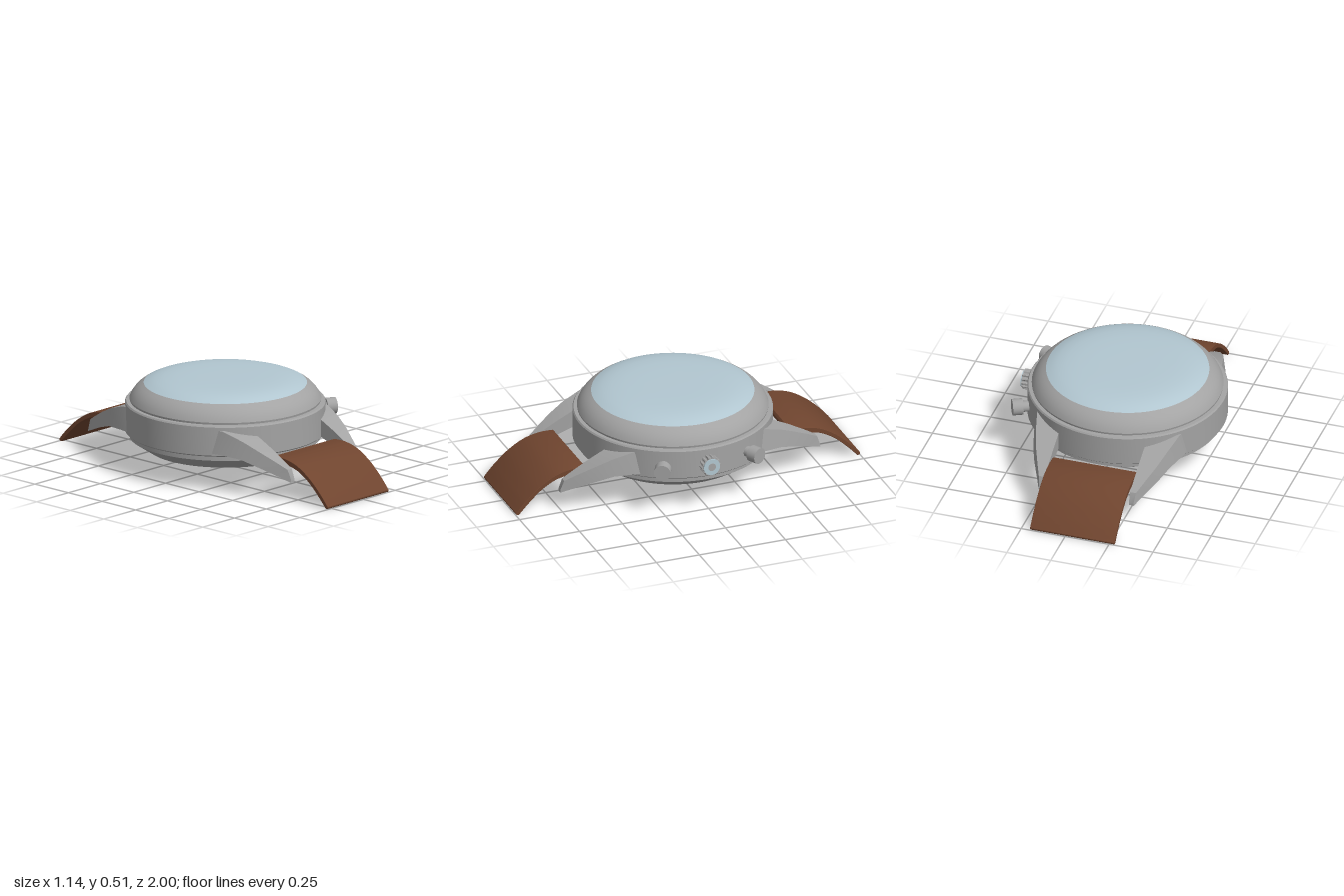
import * as THREE from 'three';
import { toCreasedNormals } from 'three/addons/utils/BufferGeometryUtils.js';

const material = (name, color, side = THREE.FrontSide) => {
  const m = new THREE.MeshStandardMaterial({ color, side });
  m.name = name;
  return m;
};

export function createModel() {
  const steel = material('steel', 0xa3a3a3);
  const glass = material('glass', 0xb2c7d1);
  const leather = material('leather', 0x70452f);

  const watch = new THREE.Group();
  watch.name = 'wristwatch';

  const add = (parent, name, geometry, mat) => {
    const mesh = new THREE.Mesh(geometry, mat);
    mesh.name = name;
    parent.add(mesh);
    return mesh;
  };
  const lathe = (points) => toCreasedNormals(
    new THREE.LatheGeometry(points.map(([r, y]) => new THREE.Vector2(r, y)), 96), 0.5);

  // Round body, centred slightly left of the crown
  const body = new THREE.Group();
  body.name = 'body';
  body.position.x = -0.029;
  watch.add(body);
  add(body, 'case', lathe([
    [0.42, 0.11], [0.519, 0.175], [0.519, 0.2], [0.535, 0.203], [0.543, 0.21],
    [0.543, 0.368], [0.537, 0.376], [0.517, 0.377],
  ]), steel);
  add(body, 'bezel', lathe([
    [0.517, 0.377], [0.519, 0.388], [0.51, 0.408], [0.495, 0.43],
    [0.478, 0.448], [0.46, 0.462], [0.442, 0.473],
  ]), steel);
  add(body, 'crystal', lathe([
    [0.442, 0.473], [0.415, 0.485], [0.38, 0.496], [0.33, 0.504],
    [0.26, 0.509], [0.15, 0.51], [0, 0.51],
  ]), glass);
  add(body, 'caseBack', lathe([[0, 0.11], [0.42, 0.11]]), glass);

  // Cylinder lying along +x from x0 to x1
  const rod = (x0, x1, r, sides = 32) => new THREE.CylinderGeometry(r, r, x1 - x0, sides)
    .rotateZ(-Math.PI / 2).translate((x0 + x1) / 2, 0, 0);

  // Push buttons, pointing outward either side of the crown
  for (const angle of [-0.465, 0.465]) {
    const pusher = new THREE.Group();
    pusher.name = angle > 0 ? 'rearPusher' : 'frontPusher';
    pusher.position.y = 0.283;
    pusher.rotation.y = angle;
    body.add(pusher);
    add(pusher, 'pusherStem', rod(0.52, 0.59, 0.03), steel);
    add(pusher, 'pusherCap', rod(0.575, 0.632, 0.045), steel);
  }

  // Fluted crown with a pale end cap
  const crown = new THREE.Group();
  crown.name = 'crown';
  crown.position.set(0, 0.284, 0.006);
  watch.add(crown);
  const outline = new THREE.Shape();
  const teeth = 14;
  for (let i = 0; i < teeth * 4; i++) {
    const a = (i / (teeth * 4)) * Math.PI * 2;
    const r = i % 4 < 2 ? 0.056 : 0.048;
    outline[i ? 'lineTo' : 'moveTo'](Math.cos(a) * r, Math.sin(a) * r);
  }
  outline.closePath();
  add(crown, 'crownGrip', new THREE.ExtrudeGeometry(outline, { depth: 0.042, bevelEnabled: false })
    .rotateY(Math.PI / 2).translate(0.52, 0, 0), steel);
  add(crown, 'crownStem', rod(0.49, 0.525, 0.04), steel);
  add(crown, 'crownCap', rod(0.56, 0.568, 0.047), glass);
  add(crown, 'crownBoss', rod(0.565, 0.57, 0.022), steel);

  // Lug lofted from four-cornered sections: [z, outer x, bottom y, top y]
  const sections = [
    [0.28, 0.435, 0.222, 0.352], [0.37, 0.422, 0.222, 0.35], [0.49, 0.387, 0.212, 0.31],
    [0.58, 0.355, 0.182, 0.267], [0.67, 0.312, 0.147, 0.218], [0.735, 0.28, 0.118, 0.18],
    [0.755, 0.272, 0.11, 0.125],
  ];
  const lug = (side) => {
    const positions = [];
    const index = [];
    const quad = (a, b, c, d) => index.push(...(side > 0 ? [a, b, c, a, c, d] : [a, c, b, a, d, c]));
    for (const [z, x, low, high] of sections) {
      const inset = (x - 0.245) * 0.1;
      for (const [px, py] of [[0.245, low], [x, low], [x - inset, high], [0.243, high]]) {
        positions.push(px * side, py, z);
      }
    }
    const last = (sections.length - 1) * 4;
    for (let s = 0; s < last; s += 4) {
      for (let k = 0; k < 4; k++) {
        const n = (k + 1) % 4;
        quad(s + k, s + n, s + 4 + n, s + 4 + k);
      }
    }
    quad(3, 2, 1, 0);
    quad(last, last + 1, last + 2, last + 3);
    const geometry = new THREE.BufferGeometry();
    geometry.setAttribute('position', new THREE.Float32BufferAttribute(positions, 3));
    geometry.setIndex(index);
    return toCreasedNormals(geometry, 0.4);
  };

  // Strap side profile (z, y), swept across the width
  const top = [[0.6, 0.222], [0.68, 0.222], [0.77, 0.2], [0.86, 0.148], [0.94, 0.078], [0.998, 0.014]];
  const under = [[0.985, 0.003], [0.925, 0.066], [0.85, 0.132], [0.765, 0.178], [0.68, 0.192], [0.6, 0.186]];
  const vectors = (list) => list.map(([z, y]) => new THREE.Vector2(z, y));
  const profile = new THREE.Shape();
  profile.moveTo(...top[0]);
  profile.splineThru(vectors(top.slice(1)));
  profile.quadraticCurveTo(1.0, 0.002, ...under[0]);
  profile.splineThru(vectors(under.slice(1)));
  profile.quadraticCurveTo(0.582, 0.204, ...top[0]);
  const strap = toCreasedNormals(new THREE.ExtrudeGeometry(profile, {
    depth: 0.472, curveSegments: 8, bevelThickness: 0.004, bevelSize: 0.002, bevelSegments: 2,
  }).rotateY(-Math.PI / 2).translate(0.236, 0, 0), 0.6);

  // Strap and lugs at both ends
  for (const end of ['front', 'rear']) {
    const group = new THREE.Group();
    group.name = `${end}Attachment`;
    group.position.x = -0.04;
    group.rotation.y = end === 'rear' ? Math.PI : 0;
    watch.add(group);
    add(group, `${end}Strap`, strap, leather);
    for (const side of [-1, 1]) add(group, `${end}Lug`, lug(side), steel);
    add(group, `${end}SpringBar`, rod(-0.25, 0.25, 0.01, 12).translate(0, 0.205, 0.62), steel);
  }
  return watch;
}
